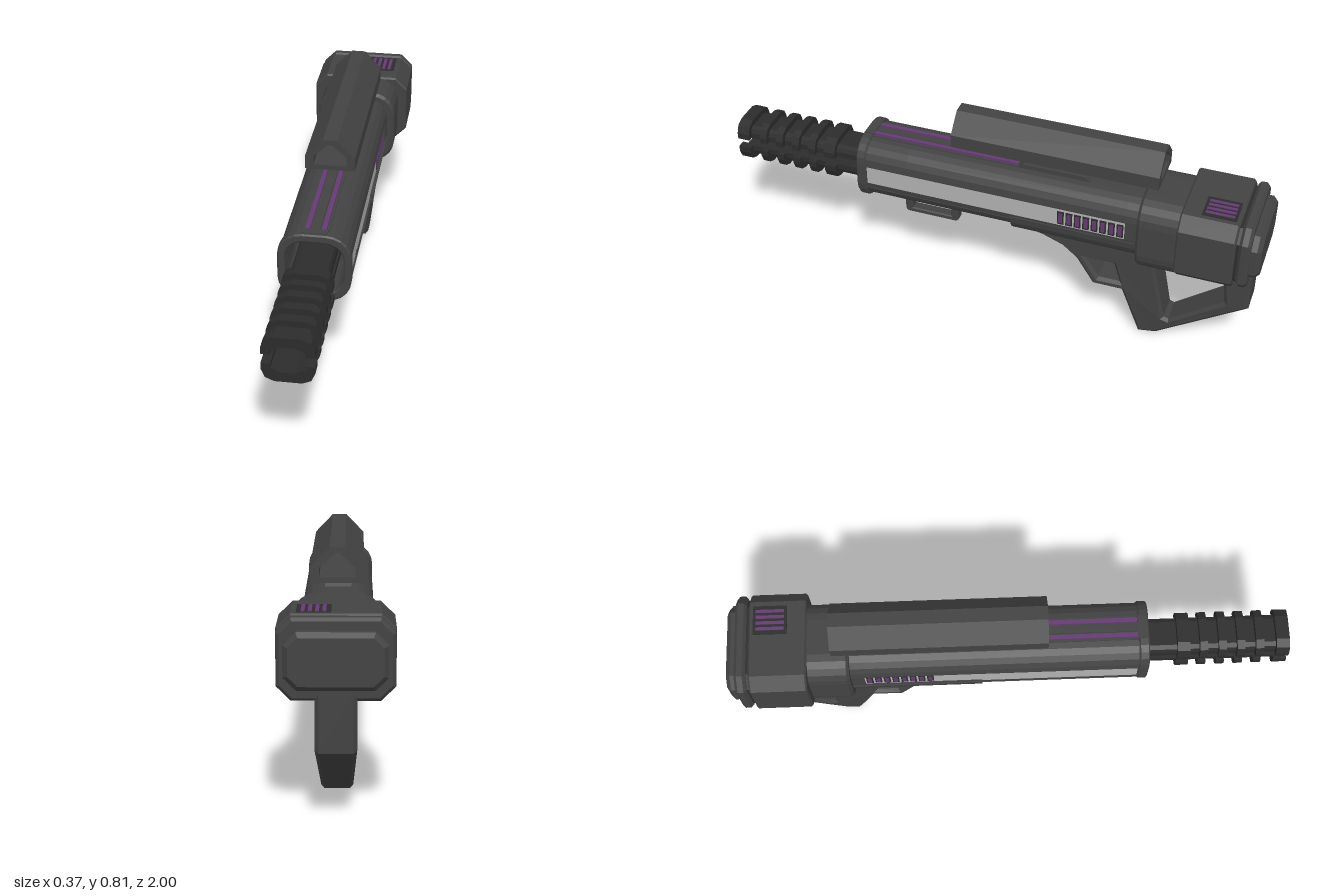
import * as THREE from 'three';

const mat = (color) => new THREE.MeshStandardMaterial({ color, flatShading: true });
const DARK = mat(0x424242), BLACK = mat(0x2c2c2c), PANEL = mat(0xb0b0b0), PURPLE = mat(0x643a72);

const toPath = (pts, C = THREE.Shape) => new C(pts.map(([x, y]) => new THREE.Vector2(x, y)));

// Rounded (or, with one segment, chamfered) outline: half width, bottom, top, corner radius
function outline(w, y0, y1, r, seg = 5) {
  const pts = [];
  [[w - r, y0 + r, -1], [w - r, y1 - r, 0], [r - w, y1 - r, 1], [r - w, y0 + r, 2]].forEach(([cx, cy, q]) => {
    for (let i = 0; i <= seg; i++) {
      const a = (q + i / seg) * Math.PI / 2;
      pts.push([cx + r * Math.cos(a), cy + r * Math.sin(a)]);
    }
  });
  return pts;
}

// Extrude an x-y outline between two z positions, with optional end bevels
function prism(pts, z0, z1, bevel = 0, holes = []) {
  const shape = toPath(pts);
  shape.holes = holes.map((h) => toPath(h, THREE.Path));
  const g = new THREE.ExtrudeGeometry(shape, {
    depth: z1 - z0 - 2 * bevel, bevelEnabled: bevel > 0, bevelThickness: bevel,
    bevelSize: bevel, bevelOffset: -bevel, bevelSegments: 1,
  });
  return g.translate(0, 0, z0 + bevel);
}

// Extrude a z-y side profile between two x positions
function sideCut(pts, x0, x1, bevel, holes = []) {
  const flip = (p) => p.map(([z, y]) => [-z, y]);
  return prism(flip(pts), x0, x1, bevel, holes.map(flip)).rotateY(Math.PI / 2);
}

const box = (x0, x1, y0, y1, z0, z1) =>
  new THREE.BoxGeometry(x1 - x0, y1 - y0, z1 - z0)
    .translate((x0 + x1) / 2, (y0 + y1) / 2, (z0 + z1) / 2);

export function createModel() {
  const root = new THREE.Group();
  const group = (name) => {
    const g = new THREE.Group();
    g.name = name;
    root.add(g);
    return g;
  };
  const add = (name, geo, material = DARK, parent = root) => {
    const m = new THREE.Mesh(geo, material);
    m.name = name;
    parent.add(m);
    return m;
  };

  // Main housing: a grooved middle for the side panels, closed rear, open muzzle frame
  const shell = outline(0.122, 0.4, 0.635, 0.08);
  const half = shell.filter(([x]) => x > 0);
  const low = half.filter(([, y]) => y < 0.5), high = half.filter(([, y]) => y > 0.5);
  const right = [...low, [0.122, 0.46], [0.112, 0.46], [0.112, 0.55], [0.122, 0.55], ...high];
  right.sort((a, b) => 0);
  const grooved = [...right.filter(([, y], i) => i === 0 || y !== right[i - 1][1] || right[i][0] !== right[i - 1][0])];
  const mirrored = grooved.map(([x, y]) => [-x, y]).reverse();
  const opening = outline(0.1, 0.42, 0.615, 0.065);
  const housing = group('housing');
  add('housingRear', prism(shell, -0.6, -0.52), DARK, housing);
  add('housingBody', prism([...grooved, ...mirrored], -0.52, 0.3), DARK, housing);
  add('housingFront', prism([...grooved, ...mirrored], 0.3, 0.46, 0, [opening]), DARK, housing);
  add('muzzleFrame', prism(outline(0.126, 0.388, 0.645, 0.085), 0.458, 0.495, 0.005, [opening]), DARK, housing);

  // Side panels with a row of vents
  for (const s of [1, -1]) {
    const side = group(s > 0 ? 'leftSide' : 'rightSide');
    const sx = (a, b) => (s > 0 ? [a, b] : [-b, -a]);
    add('sidePanel', box(...sx(0.108, 0.115), 0.462, 0.548, -0.52, 0.458), PANEL, side);
    for (let i = 0; i < 8; i++) {
      const z = -0.285 - i * 0.031;
      add('ventFrame', box(...sx(0.11, 0.117), 0.48, 0.535, z - 0.012, z + 0.012), BLACK, side);
      add('ventGlow', box(...sx(0.11, 0.119), 0.487, 0.528, z - 0.007, z + 0.007), PURPLE, side);
    }
  }

  // Top rail with glowing strips
  const rail = group('topRail');
  add('railBed', box(-0.045, 0.045, 0.62, 0.638, -0.1, 0.455), DARK, rail);
  add('railStop', box(-0.043, 0.043, 0.625, 0.648, 0.455, 0.485), DARK, rail);
  for (const x of [-0.028, 0.028]) {
    add('railGlow', box(x - 0.008, x + 0.008, 0.63, 0.645, -0.1, 0.455), PURPLE, rail);
  }
  add('railCentre', box(-0.015, 0.015, 0.63, 0.643, -0.1, 0.455), DARK, rail);

  // Split, ribbed barrel: two mirrored channel halves
  const channel = (w, top, c) => [
    [w, 0.525], [w, top - c], [w - c * 0.3, top - c * 0.3], [w - c, top],
    [c - w, top], [c * 0.3 - w, top - c * 0.3], [-w, top - c], [-w, 0.525],
    [-0.055, 0.525], [-0.055, 0.54], [-0.02, 0.555], [0.02, 0.555], [0.055, 0.54], [0.055, 0.525],
  ];
  const ribs = [[0.6, 0.645], [0.68, 0.708], [0.747, 0.775], [0.813, 0.841], [0.88, 0.908], [0.953, 1]];
  for (const upper of [true, false]) {
    const barrel = group(upper ? 'upperBarrel' : 'lowerBarrel');
    const place = (pts) => (upper ? pts : pts.map(([x, y]) => [x, 1.015 - y]));
    add('barrelChannel', prism(place(channel(0.066, 0.568, 0.022)), 0.29, 0.99), BLACK, barrel);
    for (const [a, b] of ribs) add('barrelRib', prism(place(channel(0.085, 0.59, 0.042)), a, b), BLACK, barrel);
  }

  // Hollow sight on its mount
  const sight = group('sight');
  add('sightTube', prism(
    [[-0.088, 0.695], [0.088, 0.695], [0.088, 0.745], [0.025, 0.811], [-0.025, 0.811], [-0.088, 0.745]],
    -0.62, 0.135, 0,
    [[[-0.058, 0.713], [0.058, 0.713], [0.058, 0.745], [0.008, 0.793], [-0.008, 0.793], [-0.058, 0.745]]]), DARK, sight);
  add('sightRail', box(-0.03, 0.03, 0.688, 0.697, -0.45, -0.03), DARK, sight);
  add('sightMount', prism([[-0.037, 0.64], [0.037, 0.64], [0.025, 0.69], [-0.025, 0.69]], -0.34, -0.14), DARK, sight);
  add('mountBase', sideCut([[-0.09, 0.625], [-0.12, 0.652], [-0.35, 0.652], [-0.38, 0.625]], -0.045, 0.045, 0), DARK, sight);

  // Rear collar, chamfered block, ring and end cap
  const rear = group('rearSection');
  add('collar', prism(outline(0.15, 0.36, 0.655, 0.085), -0.72, -0.565, 0.01), DARK, rear);
  add('collarUnderside', box(-0.075, 0.075, 0.36, 0.42, -0.77, -0.7), DARK, rear);
  add('rearBlock', prism(outline(0.184, 0.392, 0.658, 0.045, 1), -0.915, -0.712, 0.006), DARK, rear);
  add('rearGroove', prism(outline(0.168, 0.408, 0.642, 0.042, 1), -0.93, -0.91), BLACK, rear);
  add('rearRing', prism(outline(0.182, 0.398, 0.655, 0.045, 1), -0.965, -0.925, 0.01), DARK, rear);
  add('endCap', prism(outline(0.16, 0.437, 0.617, 0.04, 1), -1, -0.95, 0.015), DARK, rear);
  add('topVentBed', box(0.015, 0.122, 0.65, 0.66, -0.9, -0.78), BLACK, rear);
  for (let i = 0; i < 4; i++) {
    const x = 0.036 + i * 0.022;
    add('topVentGlow', box(x - 0.006, x + 0.006, 0.65, 0.662, -0.89, -0.79), PURPLE, rear);
  }

  // Grip, trigger guard and skeleton stock in one bevelled profile, narrower at the foot
  const grip = sideCut(
    [[-0.1, 0.42], [-0.1, 0.385], [-0.2, 0.365], [-0.28, 0.335], [-0.335, 0.29], [-0.4, 0.19], [-0.51, 0.19],
      [-0.58, 0], [-0.645, 0.012], [-0.972, 0.235], [-0.972, 0.42]],
    -0.065, 0.065, 0.012,
    [[[-0.365, 0.305], [-0.475, 0.305], [-0.5, 0.225], [-0.42, 0.225]],
      [[-0.625, 0.325], [-0.875, 0.325], [-0.885, 0.24], [-0.69, 0.095], [-0.672, 0.1]]]);
  const p = grip.attributes.position;
  for (let i = 0; i < p.count; i++) {
    p.setX(i, p.getX(i) * THREE.MathUtils.lerp(0.78, 1, Math.min(1, p.getY(i) / 0.17)));
  }
  grip.computeVertexNormals();
  add('gripAndStock', grip);

  // Lower sheath wrapping the housing above the grip
  add('lowerSheath', prism(
    [...outline(0.126, 0.385, 0.635, 0.085).filter(([, y]) => y < 0.432 + 0.04)]
      .sort((a, b) => Math.atan2(a[1] - 0.48, a[0]) - Math.atan2(b[1] - 0.48, b[0])),
    -0.58, -0.1));

  // Small sling loop under the front
  add('slingLoop', sideCut(
    [[0.34, 0.42], [0.34, 0.335], [0.33, 0.325], [0.14, 0.325], [0.13, 0.335], [0.13, 0.42]], 0.005, 0.045, 0.004,
    [[[0.312, 0.395], [0.312, 0.345], [0.158, 0.345], [0.158, 0.395]]]));

  return root;
}
